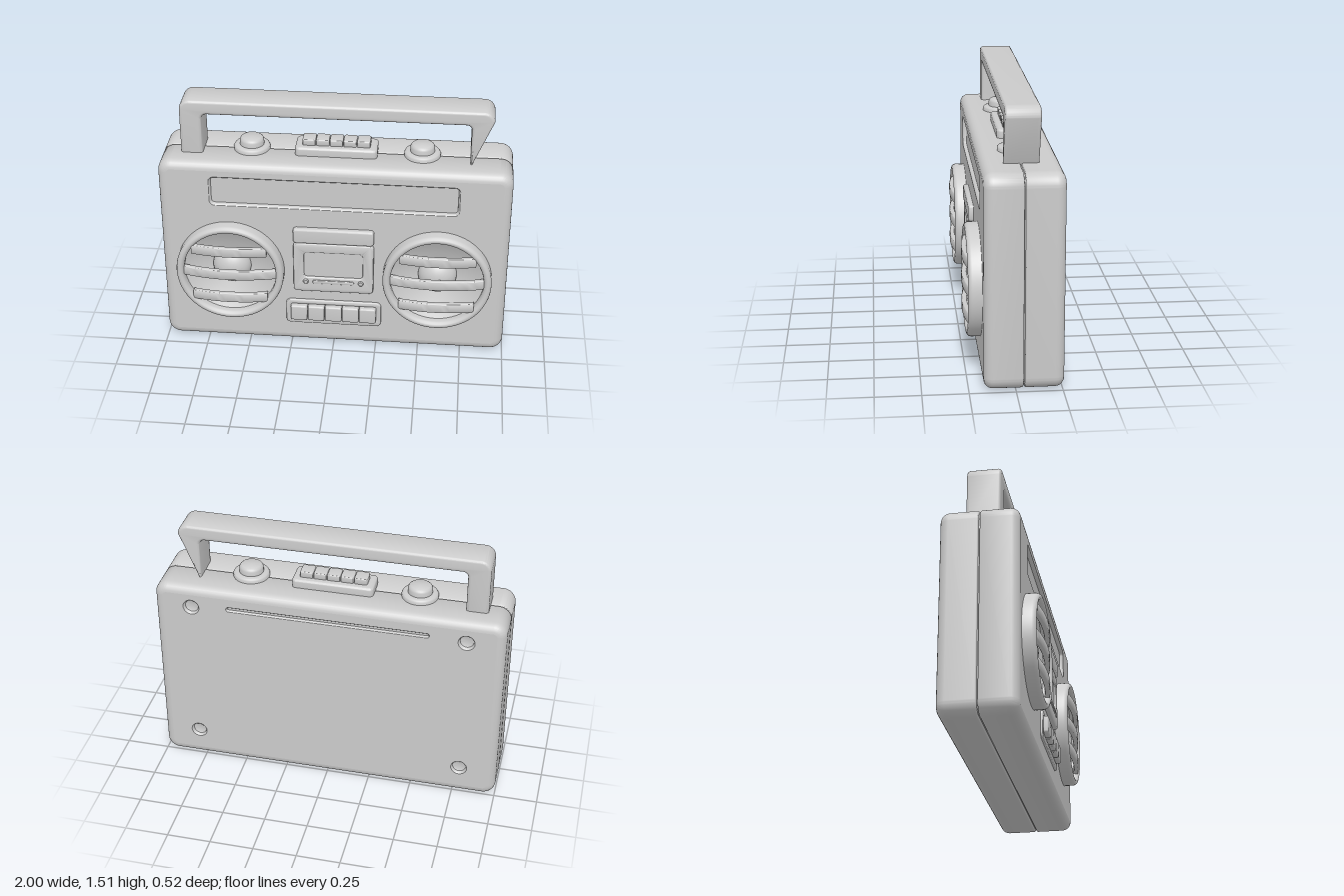
import * as THREE from 'three';
import { toCreasedNormals } from 'three/addons/utils/BufferGeometryUtils.js';

const material = new THREE.MeshStandardMaterial({ color: 0xcccccc });
const H = 1.19, MID = H / 2, FRONT = 0.17, BACK = -0.26, SEAM = -0.044;

function add(parent, name, geometry, x = 0, y = 0, z = 0) {
  const mesh = new THREE.Mesh(toCreasedNormals(geometry, 0.7), material);
  mesh.name = name;
  mesh.position.set(x, y, z);
  parent.add(mesh);
  return mesh;
}

// Rounded rectangle, counter-clockwise, centred on (cx, cy)
function rrect(w, h, r, cx = 0, cy = 0, Type = THREE.Shape) {
  const s = new Type(), q = Math.PI / 2, a = w / 2 - r, b = h / 2 - r;
  [[a, -b], [a, b], [-a, b], [-a, -b]].forEach(([x, y], i) =>
    s.absarc(cx + x, cy + y, r, (i - 1) * q, i * q, false));
  s.closePath();
  return s;
}

function circle(r, cx, cy) {
  return new THREE.Path().absarc(cx, cy, r, 0, Math.PI * 2, true);
}

// Slab between z0 and z1 with rounded edges that stay inside the outline
function slab(shape, z0, z1, bevel) {
  const g = new THREE.ExtrudeGeometry(shape, {
    depth: z1 - z0 - 2 * bevel, bevelThickness: bevel, bevelSize: bevel,
    bevelOffset: -bevel, bevelSegments: 4, curveSegments: 8,
  });
  return g.translate(0, 0, z0 + bevel);
}

// Skin through rounded-rectangle sections given as [inset, z]
function loft(w, h, r, cx, cy, sections) {
  const pos = [], idx = [];
  let n = 0;
  sections.forEach(([inset, z], k) => {
    const pts = rrect(w - 2 * inset, h - 2 * inset, r - inset, cx, cy).getPoints(8);
    if (pts[0].distanceTo(pts[pts.length - 1]) < 1e-6) pts.pop();
    n = pts.length;
    pts.forEach((p, i) => {
      pos.push(p.x, p.y, z);
      if (k === 0) return;
      const a = (k - 1) * n, b = k * n, j = (i + 1) % n;
      idx.push(a + i, a + j, b + j, a + i, b + j, b + i);
    });
  });
  const g = new THREE.BufferGeometry();
  g.setAttribute('position', new THREE.Float32BufferAttribute(pos, 3));
  g.setIndex(idx);
  return g;
}

// Recess in a face at height z: rounded lip, wall and floor
function pocket(parent, name, w, h, r, cx, cy, z, depth) {
  const e = Math.min(0.01, r * 0.4);
  add(parent, name + 'Wall', loft(w, h, r, cx, cy,
    [[0, z], [e * 0.3, z - e * 0.2], [e * 0.8, z - e], [e, z - depth]]));
  add(parent, name + 'Floor', new THREE.ShapeGeometry(rrect(w - 2 * e, h - 2 * e, r - e, cx, cy), 8), 0, 0, z - depth);
}

// Turned part from [radius, height] points
function turned(points, segments = 48) {
  return new THREE.LatheGeometry(points.map(([r, y]) => new THREE.Vector2(r, y)), segments);
}

function buildBody(group) {
  const R = 0.075, E = 0.05;
  const sections = [];
  for (let i = 0; i <= 6; i++) {
    const a = i / 6 * Math.PI / 2;
    sections.push([E * (1 - Math.sin(a)), BACK + E * (1 - Math.cos(a))]);
  }
  // Seam groove between the two shells
  sections.push([0, SEAM - 0.01], [0.004, SEAM - 0.005], [0.014, SEAM - 0.003],
    [0.014, SEAM + 0.003], [0.004, SEAM + 0.005], [0, SEAM + 0.01]);
  for (let i = 0; i <= 6; i++) {
    const a = i / 6 * Math.PI / 2;
    sections.push([E * (1 - Math.cos(a)), FRONT - E * (1 - Math.sin(a))]);
  }
  add(group, 'caseShell', loft(2, H, R, 0, MID, sections));

  // Front face with openings for the tuner panel and the speakers
  const face = () => rrect(2 - 2 * E, H - 2 * E, R - E, 0, MID);
  const front = face();
  front.holes.push(rrect(1.42, 0.185, 0.03, 0, 1.012, THREE.Path), circle(0.285, -0.6, 0.5), circle(0.285, 0.6, 0.5));
  add(group, 'frontFace', new THREE.ShapeGeometry(front, 24), 0, 0, FRONT);
  pocket(group, 'tunerPanel', 1.42, 0.185, 0.03, 0, 1.012, FRONT, 0.022);

  // Back face with screw dimples and a slot
  const back = new THREE.Group();
  back.name = 'back';
  back.rotation.y = Math.PI;
  const rear = face();
  rear.holes.push(rrect(1.16, 0.03, 0.0149, 0, 1.075, THREE.Path));
  for (const x of [-0.785, 0.785]) for (const y of [0.18, 1.06]) {
    rear.holes.push(circle(0.047, x, y));
    const dimple = turned([[0.047, 0], [0.043, -0.003], [0.038, -0.018], [0.03, -0.022], [0, -0.022]], 24);
    add(back, 'screwDimple', dimple.rotateX(Math.PI / 2), x, y, -BACK);
  }
  add(back, 'backFace', new THREE.ShapeGeometry(rear, 12), 0, 0, -BACK);
  pocket(back, 'backSlot', 1.16, 0.03, 0.0149, 0, 1.075, -BACK, 0.015);
  group.add(back);
}

function buildHandle(group) {
  const s = new THREE.Shape(), o = 0.88, i = 0.755, t = 1.515, u = 1.43, q = Math.PI / 2;
  s.moveTo(o, 1.16);
  s.absarc(o - 0.06, t - 0.06, 0.06, 0, q, false);
  s.absarc(-o + 0.06, t - 0.06, 0.06, q, 2 * q, false);
  s.lineTo(-o, 1.16);
  s.lineTo(-i, 1.16);
  s.absarc(-i + 0.03, u - 0.03, 0.03, 2 * q, q, true);
  s.absarc(i - 0.03, u - 0.03, 0.03, q, 0, true);
  s.lineTo(i, 1.16);
  s.closePath();
  add(group, 'handle', slab(s, -0.14, 0.05, 0.018));
}

function buildSpeaker(group, x) {
  const speaker = new THREE.Group();
  speaker.name = 'speaker';
  speaker.position.set(x, 0.5, 0);
  group.add(speaker);
  const rim = turned([[0.313, 0.16], [0.313, 0.222], [0.309, 0.234], [0.301, 0.242], [0.291, 0.245],
    [0.281, 0.242], [0.273, 0.234], [0.269, 0.222], [0.269, 0.195]], 64);
  add(speaker, 'speakerRim', rim.rotateX(Math.PI / 2));
  const cone = turned([[0.269, 0.195], [0.22, 0.168], [0.16, 0.142], [0.108, 0.125]], 64);
  add(speaker, 'speakerCone', cone.rotateX(Math.PI / 2));
  const dome = [];
  for (let i = 0; i <= 8; i++) {
    const a = i / 8 * Math.PI / 2;
    dome.push([0.112 * Math.cos(a), 0.125 + 0.085 * Math.sin(a)]);
  }
  add(speaker, 'speakerDome', turned(dome).rotateX(Math.PI / 2));

  // Bowed grille bars
  for (const y of [-0.155, 0, 0.155]) {
    const half = Math.sqrt(0.28 ** 2 - (Math.abs(y) + 0.02) ** 2), pts = [];
    const z = (px) => 0.262 - 0.5 * px * px;
    for (let i = 0; i <= 16; i++) {
      const px = half * (i / 8 - 1);
      pts.push(new THREE.Vector2(px, z(px) - 0.03));
    }
    for (let i = 16; i >= 0; i--) {
      const px = half * (i / 8 - 1);
      pts.push(new THREE.Vector2(px, z(px)));
    }
    const bar = slab(new THREE.Shape(pts), -0.031, 0.031, 0.009);
    add(speaker, 'grilleBar', bar.rotateX(Math.PI / 2), 0, y, 0);
  }
}

function buildCassette(group) {
  add(group, 'cassetteFlap', slab(rrect(0.465, 0.096, 0.02, 0, 0.754), 0.15, 0.2, 0.014));
  const door = rrect(0.465, 0.327, 0.025, 0, 0.54);
  door.holes.push(rrect(0.34, 0.165, 0.02, 0, 0.56, THREE.Path));
  add(group, 'cassetteDoor', slab(door, 0.15, 0.195, 0.01));
  add(group, 'cassetteWindow', new THREE.ShapeGeometry(rrect(0.38, 0.2, 0.02, 0, 0.56)), 0, 0, 0.184);
  add(group, 'windowRidge', slab(rrect(0.24, 0.022, 0.01, 0, 0.448), 0.18, 0.202, 0.005));
  for (const x of [-0.16, 0.16])
    add(group, 'doorStud', turned([[0.016, 0.18], [0.016, 0.198], [0.011, 0.203], [0, 0.203]], 20).rotateX(Math.PI / 2), x, 0.448, 0);

  // Key row in its frame
  const frame = rrect(0.56, 0.166, 0.03, 0, 0.222);
  frame.holes.push(rrect(0.5, 0.098, 0.012, 0, 0.226, THREE.Path));
  add(group, 'keyFrame', slab(frame, 0.15, 0.184, 0.009));
  for (let i = -2; i <= 2; i++)
    add(group, 'playKey', slab(rrect(0.098, 0.1, 0.012), 0.15, 0.21, 0.01), i * 0.101, 0.226, 0);
}

function buildTopControls(group) {
  for (const x of [-0.485, 0.485]) {
    add(group, 'knobBase', turned([[0.103, 1.17], [0.103, 1.205], [0.098, 1.213], [0.088, 1.217], [0, 1.217]]), x, 0, SEAM);
    add(group, 'knob', turned([[0.069, 1.2], [0.069, 1.242], [0.065, 1.253], [0.055, 1.261], [0, 1.261]], 40), x, 0, SEAM);
  }
  const flat = (w, d, r, y0, y1, b) => slab(rrect(w, d, r), y0, y1, b).rotateX(-Math.PI / 2);
  add(group, 'topPlate', flat(0.465, 0.16, 0.025, 1.16, 1.24, 0.014), 0, 0, SEAM);
  for (let i = -2; i <= 2; i++)
    add(group, 'topButton', flat(0.075, 0.085, 0.01, 1.22, 1.276, 0.008), i * 0.0775, 0, SEAM);
}

export function createModel() {
  const group = new THREE.Group();
  group.name = 'cassetteRadio';
  buildBody(group);
  buildHandle(group);
  for (const x of [-0.6, 0.6]) buildSpeaker(group, x);
  buildCassette(group);
  buildTopControls(group);
  return group;
}
